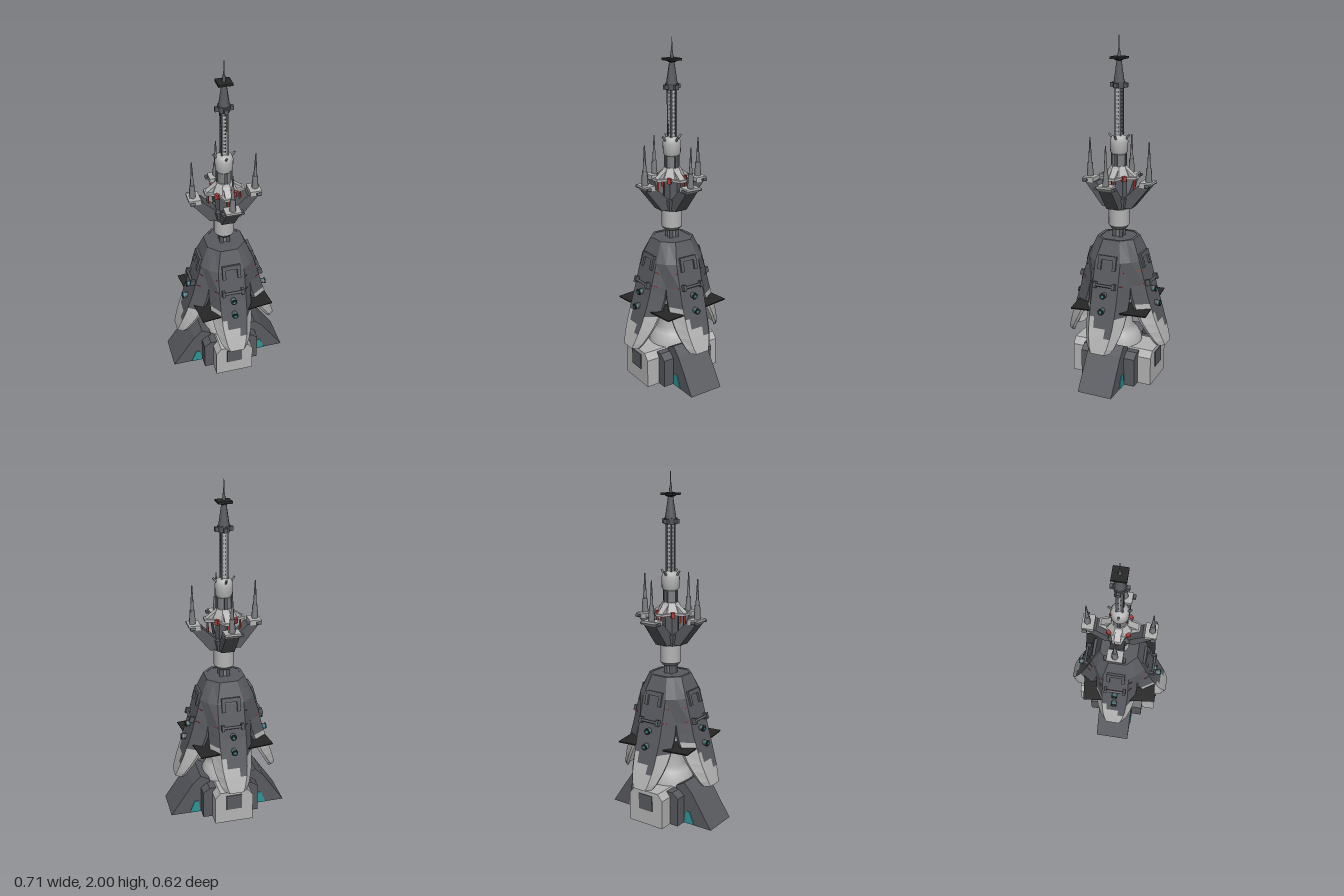
import * as THREE from 'three';

const mat = (name, color) => {
  const m = new THREE.MeshStandardMaterial({ color });
  m.name = name;
  return m;
};
const flat = (g) => { const n = g.index ? g.toNonIndexed() : g; n.computeVertexNormals(); return n; };

export function createModel() {
  const root = new THREE.Group();
  const light = mat('light grey', 0xb4b4b4), mid = mat('mid grey', 0x7e8083), dark = mat('dark grey', 0x585a5f);
  const black = mat('black', 0x262626), teal = mat('teal', 0x2f9499), red = mat('red', 0xb23c38);

  const add = (parent, name, geo, m, x = 0, y = 0, z = 0) => {
    const mesh = new THREE.Mesh(geo, m);
    mesh.name = name;
    mesh.position.set(x, y, z);
    parent.add(mesh);
    return mesh;
  };
  const box = (p, n, m, w, h, d, x, y, z) => add(p, n, new THREE.BoxGeometry(w, h, d), m, x, y, z);
  // upright cylinder given by its bottom and top heights
  const cyl = (p, n, m, rBottom, rTop, y0, y1, x = 0, z = 0, sides = 16) =>
    add(p, n, new THREE.CylinderGeometry(rTop, rBottom, y1 - y0, sides), m, x, (y0 + y1) / 2, z);
  // flat-sided version of the same
  const prism = (...args) => { const c = cyl(...args); c.geometry = flat(c.geometry); return c; };
  const rod = (p, n, m, a, b, r, sides = 8) => {
    const A = new THREE.Vector3(...a), B = new THREE.Vector3(...b), d = B.clone().sub(A);
    const mesh = add(p, n, new THREE.CylinderGeometry(r, r, d.length(), sides), m);
    mesh.position.copy(A.add(B).multiplyScalar(0.5));
    mesh.quaternion.setFromUnitVectors(new THREE.Vector3(0, 1, 0), d.normalize());
    return mesh;
  };
  // x-y outline extruded to a depth centred on z
  const slab = (p, n, m, pts, depth, z = 0) => {
    const s = new THREE.Shape(pts.map((q) => new THREE.Vector2(...q)));
    const g = new THREE.ExtrudeGeometry(s, { depth, bevelEnabled: false });
    g.translate(0, 0, z - depth / 2);
    return add(p, n, g, m);
  };
  const around = (name, count, build, start = 0) => {
    for (let k = 0; k < count; k++) {
      const g = new THREE.Group();
      g.name = name;
      g.rotation.y = start + (k * Math.PI * 2) / count;
      build(g);
      root.add(g);
    }
  };

  // Base: hollow front-to-back block, hollow side wings and the body between them
  const blockOutline = [[-0.115, 0], [-0.115, 0.17], [-0.085, 0.208], [0.085, 0.208], [0.115, 0.17], [0.115, 0]];
  const blockInside = [[0.095, 0], [0.095, 0.16], [0.075, 0.19], [-0.075, 0.19], [-0.095, 0.16], [-0.095, 0]];
  slab(root, 'baseBlock', light, [...blockOutline, ...blockInside], 0.48);
  slab(root, 'baseBody', dark,
    [[-0.17, 0.09], [0.17, 0.09], [0.17, 0.17], [0.13, 0.2], [-0.13, 0.2], [-0.17, 0.17]], 0.34);
  for (const x of [-0.1425, 0.1425])
    for (const z of [-0.138, 0.138]) box(root, 'bodyCorner', dark, 0.055, 0.1, 0.064, x, 0.05, z);
  around('baseEnd', 2, (g) => {
    slab(g, 'blockEnd', light, blockOutline, 0.02, 0.24);
    box(g, 'basePanel', dark, 0.094, 0.095, 0.008, 0, 0.137, 0.251);
  });
  around('baseWing', 2, (g) => {
    const outline = [[0.115, 0.22], [0.17, 0.25], [0.22, 0.2], [0.354, 0]];
    slab(g, 'wingSkin', dark, [...outline, [0.33, 0], [0.205, 0.185], [0.165, 0.225], [0.115, 0.2]], 0.21);
    for (const z of [-0.0995, 0.0995]) {
      slab(g, 'wingSide', dark, [[0.115, 0], ...outline], 0.011, z);
      slab(g, 'wingInset', teal, [[0.173, 0.002], [0.24, 0.002], [0.21, 0.078], [0.187, 0.078]], 0.004, z * 1.075);
    }
    slab(g, 'wingCore', teal, [[0.116, 0.05], [0.285, 0.05], [0.2, 0.17], [0.116, 0.17]], 0.188);
    box(g, 'wingRib', dark, 0.19, 0.05, 0.02, 0.21, 0.026, 0);
  });

  // Core inside the shell, with a square deck
  const core = [[0.14, 0.19], [0.135, 0.24], [0.11, 0.28], [0.085, 0.31], [0.085, 0.44], [0.1, 0.46], [0.1, 0.5],
    [0.07, 0.54], [0.06, 0.84]];
  add(root, 'core', new THREE.LatheGeometry(core.map((q) => new THREE.Vector2(...q)), 20), light);
  prism(root, 'deck', black, 0.314, 0.317, 0.462, 0.47, 0, 0, 4).rotation.y = Math.PI / 4 + 0.124;
  around('coreValve', 4, (g) => add(g, 'valve', new THREE.SphereGeometry(0.026, 12, 8), red, 0, 0.53, 0.1), Math.PI / 4);

  // Shell petals: rows of height, reach, half width and how far the edges fall back
  const rows = [[0.865, 0.112, 0.082, 0.03], [0.75, 0.16, 0.125, 0.035], [0.61, 0.198, 0.127, 0.071],
    [0.55, 0.213, 0.128, 0.076], [0.5, 0.228, 0.127, 0.076], [0.44, 0.247, 0.123, 0.07], [0.38, 0.266, 0.117, 0.06],
    [0.33, 0.284, 0.106, 0.05], [0.27, 0.303, 0.085, 0.035], [0.24, 0.312, 0.066, 0.028]];
  const cols = [-1, -0.62, -0.38, 0.25, 0.62, 1], paintLine = [0.52, 0.46, 0.4, 0.35, 0.46];
  const N = cols.length;
  const loops = rows.map(([y, r, hw, rec]) => {
    const outer = cols.map((f) => [f * hw, y, Math.abs(f) === 1 ? r - rec : r]);
    return [...outer, ...outer.map(([x, yy, z]) => [x * 0.97, yy, z - 0.018]).reverse()];
  });
  const lists = [[], []];
  const quad = (k, a, b, c, d) => lists[k].push(...a, ...b, ...c, ...a, ...c, ...d);
  for (let i = 0; i < rows.length - 1; i++) {
    const y = (rows[i][0] + rows[i + 1][0]) / 2;
    for (let j = 0; j < 2 * N; j++) {
      const k = (j + 1) % (2 * N);
      const line = j < N - 1 ? paintLine[j] : 0.46;
      quad(y < line ? 1 : 0, loops[i][j], loops[i + 1][j], loops[i + 1][k], loops[i][k]);
    }
  }
  const end = loops[loops.length - 1], top = loops[0];
  for (let j = 0; j < N - 1; j++) {
    const p = 2 * N - 1 - j;
    quad(1, end[j], end[p], end[p - 1], end[j + 1]);
    quad(0, top[j], top[j + 1], top[p - 1], top[p]);
  }
  const petalGeo = lists.map((l) => {
    const g = new THREE.BufferGeometry();
    g.setAttribute('position', new THREE.Float32BufferAttribute(l, 3));
    g.computeVertexNormals();
    return g;
  });
  around('shellPetal', 4, (g) => {
    add(g, 'petalUpper', petalGeo[0], dark);
    add(g, 'petalLower', petalGeo[1], light);
    // raised bracket, handrail and red marks follow the slope
    const fit = new THREE.Group();
    fit.name = 'petalFittings';
    fit.position.set(0, 0.68, 0.18);
    fit.rotation.x = -0.27;
    g.add(fit);
    box(fit, 'bracketTop', dark, 0.11, 0.025, 0.022, 0, 0.095, 0);
    for (const s of [-1, 1]) {
      box(fit, 'bracketLeg', dark, 0.02, 0.06, 0.022, s * 0.045, 0.055, 0);
      box(fit, 'railEnd', dark, 0.016, 0.035, 0.03, s * 0.058, -0.065, 0.01);
      box(fit, 'redMark', red, 0.024, 0.004, 0.004, s * 0.09, 0.02, -0.0105).rotation.y = s * 0.75;
      box(fit, 'redMark', red, 0.026, 0.004, 0.004, s * 0.091, -0.062, -0.0165).rotation.y = s * 0.97;
    }
    rod(fit, 'rail', dark, [-0.058, -0.065, 0.016], [0.058, -0.065, 0.016], 0.008);
    // outward sensor barrels with teal bands
    for (const [y, z] of [[0.565, 0.234], [0.48, 0.262]]) {
      rod(g, 'barrel', dark, [0, y, z - 0.05], [0, y, z], 0.016, 12);
      rod(g, 'barrelBand', teal, [0, y, z - 0.014], [0, y, z - 0.008], 0.0165, 12);
      rod(g, 'barrelCap', black, [0, y, z - 0.005], [0, y, z + 0.002], 0.018, 12);
      box(g, 'barrelLens', teal, 0.013, 0.013, 0.002, 0, y, z + 0.0025);
    }
    rod(g, 'petalStrut', red, [0, 0.48, 0.09], [0, 0.35, 0.262], 0.008);
  });
  prism(root, 'shellRoof', dark, 0.12, 0.112, 0.842, 0.862, 0, 0, 8).rotation.y = Math.PI / 8;

  // Neck
  cyl(root, 'neckCore', mid, 0.026, 0.026, 0.84, 0.94);
  around('neckPipe', 4, (g) => cyl(g, 'pipe', dark, 0.012, 0.012, 0.84, 0.94, 0, 0.028, 8), Math.PI / 4);
  cyl(root, 'neckDrumFoot', mid, 0.045, 0.06, 0.91, 0.93);
  cyl(root, 'neckDrum', light, 0.06, 0.06, 0.93, 1.04);
  prism(root, 'armHub', dark, 0.065, 0.08, 1.03, 1.1, 0, 0, 8);
  prism(root, 'hubColumn', dark, 0.05, 0.05, 1.1, 1.21, 0, 0, 8);

  // Four arms with pods and spikes
  around('arm', 4, (g) => {
    slab(g, 'armBeam', dark, [[0.05, 1.04], [0.09, 1.04], [0.195, 1.172], [0.13, 1.178], [0.05, 1.1]], 0.078);
    slab(g, 'armPod', light, [[0.142, 1.172], [0.195, 1.172], [0.211, 1.188], [0.211, 1.2], [0.142, 1.2]], 0.09);
    for (const z of [-0.054, 0.054]) rod(g, 'podThruster', dark, [0.178, 1.185, z], [0.205, 1.185, z], 0.009);
    cyl(g, 'spikeBase', mid, 0.02, 0.015, 1.195, 1.28, 0.182, 0, 6);
    cyl(g, 'spike', mid, 0.011, 0.003, 1.28, 1.425, 0.182, 0, 6);
    cyl(g, 'redRod', red, 0.006, 0.006, 1.1, 1.215, 0.094, 0, 8);
  });

  // Head cap with four tapering eaves and red lamps between, then the turret
  prism(root, 'headCap', light, 0.082, 0.048, 1.212, 1.28, 0, 0, 8).rotation.y = Math.PI / 8;
  around('eave', 4, (g) => {
    const plate = slab(g, 'eavePlate', light, [[0.04, -0.05], [0.115, -0.024], [0.115, 0.024], [0.04, 0.05]], 0.014);
    plate.rotation.x = -Math.PI / 2;
    plate.position.y = 1.217;
    slab(g, 'eaveRidge', light, [[0.04, 1.22], [0.11, 1.22], [0.045, 1.27]], 0.036);
  });
  around('headLamp', 4, (g) => box(g, 'lamp', red, 0.022, 0.03, 0.02, 0, 1.215, 0.076), Math.PI / 4);
  cyl(root, 'turretNeck', mid, 0.04, 0.04, 1.28, 1.35);
  around('turretRib', 4, (g) => box(g, 'rib', dark, 0.016, 0.07, 0.012, 0, 1.315, 0.04));
  const turret = [[0, 1.335], [0.035, 1.34], [0.05, 1.36], [0.052, 1.42], [0.042, 1.445], [0.02, 1.455], [0, 1.455]];
  add(root, 'turret', new THREE.LatheGeometry(turret.map((q) => new THREE.Vector2(...q)), 20), light);
  around('turretHorn', 4, (g) => rod(g, 'horn', mid, [0, 1.425, 0.035], [0, 1.458, 0.062], 0.006));

  // Mast: dark corner posts, pale faces with rows of slots
  box(root, 'mast', light, 0.034, 0.29, 0.034, 0, 1.59, 0);
  around('mastFace', 4, (g) => {
    for (let i = 0; i < 11; i++)
      for (const x of [-0.005, 0.005]) box(g, 'slot', dark, 0.005, 0.01, 0.002, x, 1.475 + i * 0.022, 0.0172);
    box(g, 'post', dark, 0.01, 0.29, 0.01, 0.015, 1.59, 0.015);
    box(g, 'collarLug', dark, 0.022, 0.024, 0.026, 0, 1.732, 0.038);
  });
  cyl(root, 'mastCollar', dark, 0.034, 0.038, 1.715, 1.75, 0, 0, 8);
  cyl(root, 'mastCone', dark, 0.032, 0.014, 1.75, 1.87, 0, 0, 8);
  prism(root, 'dishUnder', black, 0.014, 0.04, 1.862, 1.876, 0, 0, 4).rotation.y = Math.PI / 4;
  box(root, 'dishPlate', black, 0.08, 0.012, 0.08, 0, 1.88, 0);
  cyl(root, 'antennaFoot', dark, 0.01, 0.006, 1.885, 1.925, 0, 0, 8);
  cyl(root, 'antenna', mid, 0.004, 0.002, 1.925, 2, 0, 0, 6);
  return root;
}
